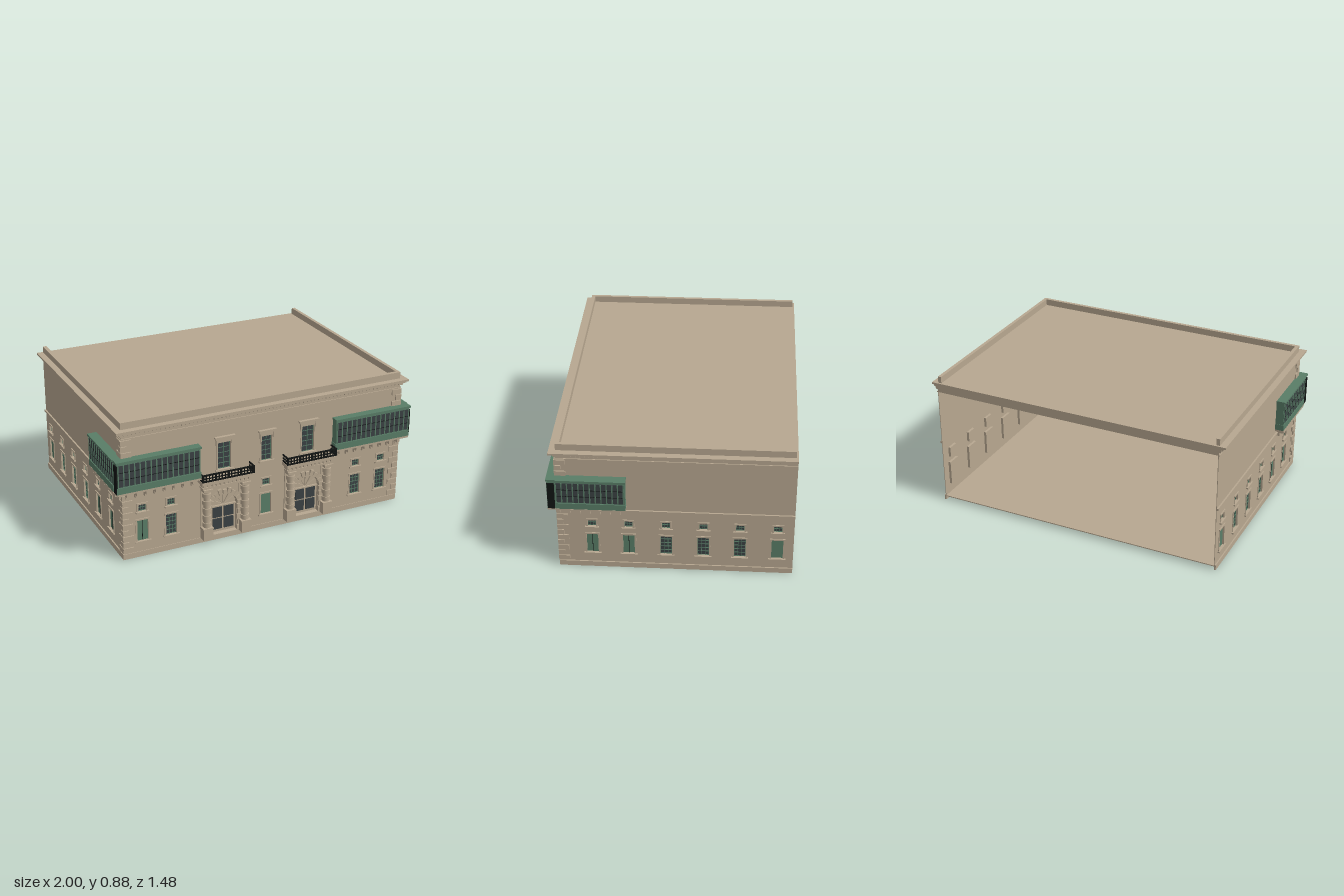
import * as THREE from 'three';

const mat = (name, hex) => {
  const m = new THREE.MeshStandardMaterial({ color: hex });
  m.name = name;
  return m;
};

export function createModel() {
  const stone = mat('limestone', 0xb7a790);
  const green = mat('green paint', 0x597d67);
  const glass = mat('dark glass', 0x3a4143);
  const black = mat('black iron', 0x111413);
  const root = new THREE.Group();
  root.name = 'building';

  const group = (parent, name) => {
    const g = new THREE.Group();
    g.name = name;
    parent.add(g);
    return g;
  };
  const add = (parent, name, geo, m) => {
    const mesh = new THREE.Mesh(geo, m);
    mesh.name = name;
    parent.add(mesh);
    return mesh;
  };
  const box = (parent, name, m, x0, x1, y0, y1, z0, z1) => {
    const b = add(parent, name, new THREE.BoxGeometry(x1 - x0, y1 - y0, z1 - z0), m);
    b.position.set((x0 + x1) / 2, (y0 + y1) / 2, (z0 + z1) / 2);
    return b;
  };
  const rect = (Type, x0, x1, y0, y1) =>
    new Type([[x0, y0], [x1, y0], [x1, y1], [x0, y1]].map(p => new THREE.Vector2(...p)));
  const arch = (Type, x, r) => {
    const p = new Type();
    p.moveTo(x - r, 0.04);
    p.lineTo(x + r, 0.04);
    p.lineTo(x + r, 0.22);
    p.absarc(x, 0.22, r, 0, Math.PI, false);
    p.lineTo(x - r, 0.04);
    return p;
  };
  const extrude = (shape, depth) =>
    new THREE.ExtrudeGeometry(shape, { depth, bevelEnabled: false, curveSegments: 14 });

  // Thin wall facing +z in its own frame, with window and arch openings
  const TH = 0.004;
  function wall(parent, u0, u1, y1, windows, arches = []) {
    const s = rect(THREE.Shape, u0, u1, 0, y1);
    for (const { x, y, w, h } of windows) s.holes.push(rect(THREE.Path, x - w / 2, x + w / 2, y, y + h));
    for (const x of arches) s.holes.push(arch(THREE.Path, x, 0.085));
    add(parent, 'wall', extrude(s, TH), stone).position.z = -TH;
    windows.forEach(w => makeWindow(parent, w));
  }

  // Window: boxed recess with pane or shutters, surround, sill and optional hood
  function makeWindow(parent, { x, y, w, h, kind = 'glass', cols = 2, rows = 4, hood = 0 }) {
    const g = group(parent, 'window');
    const a = x - w / 2, b = x + w / 2, t = y + h, f = 0.01;
    box(g, 'windowBack', stone, a - f, b + f, y - f, t + f, -0.02, -0.016);
    if (kind === 'glass') {
      box(g, 'pane', glass, a, b, y, t, -0.016, -0.012);
      for (let i = 0; i <= cols; i++) {
        const c = a + 0.002 + (w - 0.004) * i / cols;
        box(g, 'glazingBar', green, c - 0.0015, c + 0.0015, y, t, -0.014, -0.008);
      }
      for (let j = 0; j <= rows; j++) {
        const c = y + 0.002 + (h - 0.004) * j / rows;
        box(g, 'glazingBar', green, a, b, c - 0.0012, c + 0.0012, -0.014, -0.008);
      }
    } else {
      box(g, 'shutter', green, a, b, y, t, -0.016, -0.007);
      if (kind === 'shutters') box(g, 'shutterGap', black, x - 0.0015, x + 0.0015, y, t, -0.01, -0.005);
    }
    for (const s of [a - f, b]) box(g, 'jamb', stone, s, s + f, y, t, -0.018, 0.004);
    box(g, 'lintel', stone, a - f, b + f, t, t + f, -0.018, 0.006);
    box(g, 'sillRecess', stone, a - f, b + f, y - f, y, -0.018, 0);
    box(g, 'sill', stone, a - 0.017, b + 0.017, y - 0.01, y, -0.002, 0.012);
    if (hood) {
      box(g, 'hoodFrieze', stone, a - 0.012, b + 0.012, t + f, t + f + 0.012, 0, 0.008);
      box(g, 'hoodBed', stone, a - 0.018, b + 0.018, t + f + 0.012, t + f + 0.022, 0, 0.014);
      box(g, 'hood', stone, a - 0.025, b + 0.025, t + f + 0.022, t + f + 0.032, 0, 0.02);
      for (const s of [a - 0.014, b + 0.004]) box(g, 'hoodBracket', stone, s, s + 0.01, t - 0.015, t + f + 0.014, 0, 0.012);
    }
  }
  const pair = (x, kind) => [
    { x, y: 0.105, w: 0.07, h: 0.138, kind, cols: 3, rows: 5 },
    { x, y: 0.3, w: 0.05, h: 0.046, cols: 3, rows: 2 },
  ];

  // Cornice strips with dentils along one facade
  function cornice(parent, u0, u1, d0, d1) {
    const g = group(parent, 'cornice');
    box(g, 'neckMoulding', stone, u0, u1, 0.781, 0.787, 0, 0.006);
    box(g, 'bedMoulding', stone, u0 - d0 * 0.012, u1 + d1 * 0.012, 0.803, 0.811, 0, 0.012);
    box(g, 'dentilBacking', stone, u0 - d0 * 0.014, u1 + d1 * 0.014, 0.811, 0.821, 0, 0.014);
    box(g, 'corona', stone, u0 - d0 * 0.027, u1 + d1 * 0.027, 0.821, 0.83, 0, 0.027);
    for (let u = u0 + 0.008; u < u1 - 0.014; u += 0.026) box(g, 'dentil', stone, u, u + 0.014, 0.811, 0.821, 0.012, 0.022);
  }

  // Alternating corner blocks; dir points from the corner into the wall
  function quoins(parent, u, dir) {
    const g = group(parent, 'quoins');
    for (let i = 0; i < 19; i++) {
      const len = i % 2 ? 0.032 : 0.06, y = 0.04 + i * 0.039;
      const e = u + dir * len, o = u - dir * 0.007;
      box(g, 'quoin', stone, Math.min(o, e), Math.max(o, e), y, y + 0.034, 0, 0.008);
    }
  }

  // Front facade
  const front = group(root, 'frontFacade');
  front.position.z = 0.672;
  wall(front, -0.94, 0.94, 0.83, [
    ...pair(-0.82, 'shutters'), ...pair(-0.635), ...pair(0, 'shutter'), ...pair(0.635), ...pair(0.82),
    { x: -0.285, y: 0.47, w: 0.085, h: 0.175, rows: 5, hood: 1 },
    { x: 0, y: 0.468, w: 0.07, h: 0.165, rows: 5, hood: 1 },
    { x: 0.285, y: 0.47, w: 0.085, h: 0.175, rows: 5, hood: 1 },
  ], [-0.285, 0.285]);
  box(front, 'plinth', stone, -0.948, 0.948, 0, 0.035, -0.004, 0.004);
  cornice(front, -0.94, 0.94, 1, 1);
  quoins(front, -0.94, 1);
  quoins(front, 0.94, -1);

  // Side facades
  const zs = [0.47, 0.25, 0.025, -0.2, -0.42, -0.645];
  const kinds = ['shutters', 'shutters', 'glass', 'glass', 'glass', 'shutter'];
  for (const s of [1, -1]) {
    const side = group(root, s > 0 ? 'leftFacade' : 'rightFacade');
    side.position.x = 0.94 * s;
    side.rotation.y = s * Math.PI / 2;
    const u0 = s > 0 ? -0.672 : -0.742, u1 = s > 0 ? 0.742 : 0.672;
    wall(side, u0, u1, 0.83, zs.flatMap((z, i) => pair(-s * z, kinds[i])));
    box(side, 'plinth', stone, u0, u1, 0, 0.035, 0, 0.008);
    box(side, 'stringCourse', stone, u0, u1, 0.416, 0.43, 0, 0.01);
    cornice(side, u0, u1, s > 0 ? 1 : 0, s > 0 ? 0 : 1);
    quoins(side, -s * 0.672, s);
  }

  // Raised floor, deep roof slab and parapet (open at the back)
  box(root, 'floor', stone, -0.937, 0.937, 0.024, 0.03, -0.742, 0.669);
  box(root, 'ceiling', stone, -0.937, 0.937, 0.783, 0.83, -0.742, 0.669);
  box(root, 'roof', stone, -0.98, 0.98, 0.83, 0.842, -0.742, 0.706);
  box(root, 'frontParapet', stone, -0.94, 0.94, 0.842, 0.884, 0.643, 0.666);
  for (const s of [-0.929, 0.929]) box(root, 'sideParapet', stone, s - 0.011, s + 0.011, 0.842, 0.884, -0.73, 0.643);

  // Glazed strip of an enclosed balcony, facing +z in its own frame
  function glazing(parent, u0, u1, n) {
    box(parent, 'balconyGlass', glass, u0, u1, 0.507, 0.643, 0, 0.003);
    for (let i = 0; i <= n; i++) {
      const c = u0 + (u1 - u0) * i / n;
      box(parent, 'mullion', green, c - 0.0035, c + 0.0035, 0.507, 0.643, 0, 0.006);
    }
    for (const y of [0.552, 0.598]) box(parent, 'transom', black, u0, u1, y - 0.0015, y + 0.0015, 0, 0.005);
  }

  // Corner balconies
  for (const s of [1, -1]) {
    const g = group(root, 'cornerBalcony');
    const sbox = (name, m, a, b, ...r) => box(g, name, m, Math.min(s * a, s * b), Math.max(s * a, s * b), ...r);
    sbox('frontBody', green, 0.46, 0.988, 0.462, 0.66, 0.672, 0.717);
    sbox('sideBody', green, 0.94, 0.99, 0.462, 0.66, 0.262, 0.672);
    sbox('frontRoof', green, 0.455, 0.995, 0.655, 0.667, 0.672, 0.726);
    sbox('sideRoof', green, 0.94, 1, 0.655, 0.667, 0.258, 0.672);
    sbox('frontApron', green, 0.457, 0.992, 0.462, 0.502, 0.672, 0.722);
    sbox('sideApron', green, 0.94, 0.996, 0.462, 0.502, 0.26, 0.672);
    sbox('endPanel', black, 0.986, 0.994, 0.462, 0.642, 0.677, 0.72);
    sbox('frontSlab', stone, 0.457, 0.99, 0.45, 0.462, 0.672, 0.722);
    sbox('sideSlab', stone, 0.94, 0.997, 0.45, 0.462, 0.26, 0.672);
    const f = group(g, 'frontGlazing');
    f.position.z = 0.717;
    glazing(f, s > 0 ? 0.467 : -0.982, s > 0 ? 0.982 : -0.467, 15);
    const d = group(g, 'sideGlazing');
    d.position.x = s * 0.99;
    d.rotation.y = s * Math.PI / 2;
    glazing(d, s > 0 ? -0.668 : 0.27, s > 0 ? -0.27 : 0.668, 12);
    for (const x of [0.5, 0.56, 0.62, 0.68, 0.74, 0.8, 0.86, 0.92]) {
      sbox('bracket', stone, x - 0.008, x + 0.008, 0.425, 0.45, 0.672, 0.715);
      sbox('bracketFoot', stone, x - 0.008, x + 0.008, 0.405, 0.425, 0.672, 0.69);
    }
    for (const z of [0.66, 0.6, 0.54, 0.48, 0.42, 0.36, 0.3]) {
      sbox('bracket', stone, 0.94, 0.985, 0.425, 0.45, z - 0.008, z + 0.008);
      sbox('bracketFoot', stone, 0.94, 0.962, 0.403, 0.425, z - 0.008, z + 0.008);
    }
  }

  // Entrance portals, each carrying an open balcony
  for (const x of [-0.285, 0.285]) {
    const p = group(root, 'portal');
    p.position.set(x, 0, 0.672);
    // Recess, door and fanlight
    const reveal = arch(THREE.Shape, 0, 0.095);
    reveal.holes.push(arch(THREE.Path, 0, 0.085));
    add(p, 'archReveal', extrude(reveal, 0.018), stone).position.z = -0.02;
    add(p, 'doorBack', extrude(arch(THREE.Shape, 0, 0.095), 0.004), stone).position.z = -0.024;
    box(p, 'doorStep', stone, -0.085, 0.085, 0.02, 0.04, -0.02, 0.012);
    box(p, 'doorRail', stone, -0.085, 0.085, 0.213, 0.222, -0.02, -0.008);
    for (const c of [-0.038, 0.038]) for (const y of [0.06, 0.14]) {
      box(p, 'doorPanel', glass, c - 0.031, c + 0.031, y, y + 0.07, -0.02, -0.012);
    }
    for (let i = 1; i < 6; i++) {
      const a = Math.PI * i / 6;
      const ray = box(p, 'fanRay', stone, 0, 0.07, -0.002, 0.002, -0.02, -0.012);
      ray.position.set(Math.cos(a) * 0.045, 0.222 + Math.sin(a) * 0.045, -0.016);
      ray.rotation.z = a;
    }
    // Arch stones and jamb blocks
    for (let i = 0; i < 11; i++) {
      const a = Math.PI * (i + 0.5) / 11, len = i % 2 ? 0.028 : 0.038;
      const v = add(p, 'archStone', new THREE.BoxGeometry(len, 0.023, 0.016), stone);
      v.position.set(Math.cos(a) * (0.085 + len / 2), 0.22 + Math.sin(a) * (0.085 + len / 2), 0.006);
      v.rotation.z = a;
    }
    for (const s of [-1, 1]) {
      for (let i = 0; i < 5; i++) {
        const c = s * 0.097, w = i % 2 ? 0.009 : 0.013;
        box(p, 'jambBlock', stone, c - w, c + w, 0.04 + i * 0.036, 0.073 + i * 0.036, 0, 0.012);
      }
      // Banded columns on pedestals
      const c = s * 0.128;
      box(p, 'pedestal', stone, c - 0.032, c + 0.032, 0.035, 0.105, 0, 0.053);
      box(p, 'pedestalCap', stone, c - 0.034, c + 0.034, 0.105, 0.113, 0, 0.054);
      add(p, 'columnShaft', new THREE.CylinderGeometry(0.02, 0.022, 0.25, 16), stone).position.set(c, 0.24, 0.026);
      for (let i = 0; i < 5; i++) {
        add(p, 'columnBand', new THREE.CylinderGeometry(0.027, 0.027, 0.027, 16), stone)
          .position.set(c, 0.135 + i * 0.049, 0.026);
      }
      box(p, 'pilaster', stone, c - 0.03, c + 0.03, 0.113, 0.365, 0, 0.008);
      box(p, 'capital', stone, c - 0.03, c + 0.03, 0.358, 0.375, 0, 0.055);
    }
    // Entablature with blocks
    box(p, 'architrave', stone, -0.162, 0.162, 0.375, 0.387, 0, 0.045);
    box(p, 'frieze', stone, -0.16, 0.16, 0.387, 0.415, 0, 0.038);
    for (let i = 0; i < 12; i++) {
      const c = -0.149 + i * 0.0271;
      box(p, 'friezeBlock', stone, c - 0.007, c + 0.007, 0.39, 0.415, 0.036, 0.05);
    }
    box(p, 'balconySlab', stone, -0.175, 0.175, 0.415, 0.434, 0, 0.07);
    // Iron railing
    const r = group(p, 'railing');
    for (const [y, h] of [[0.434, 0.009], [0.455, 0.005], [0.475, 0.009]]) {
      box(r, 'rail', black, -0.173, 0.173, y, y + h, 0.06, 0.068);
      for (const c of [-0.169, 0.169]) box(r, 'sideRail', black, c - 0.003, c + 0.003, y, y + h, 0, 0.062);
    }
    for (let i = 0; i <= 16; i++) {
      const c = -0.168 + i * 0.021, w = i % 4 ? 0.003 : 0.006;
      box(r, 'baluster', black, c - w, c + w, 0.434, 0.484, 0.061, 0.067);
    }
    for (const c of [-0.169, 0.169]) for (const z of [0.012, 0.036]) {
      box(r, 'sideBaluster', black, c - 0.0025, c + 0.0025, 0.434, 0.484, z - 0.0025, z + 0.0025);
    }
  }
  return root;
}
